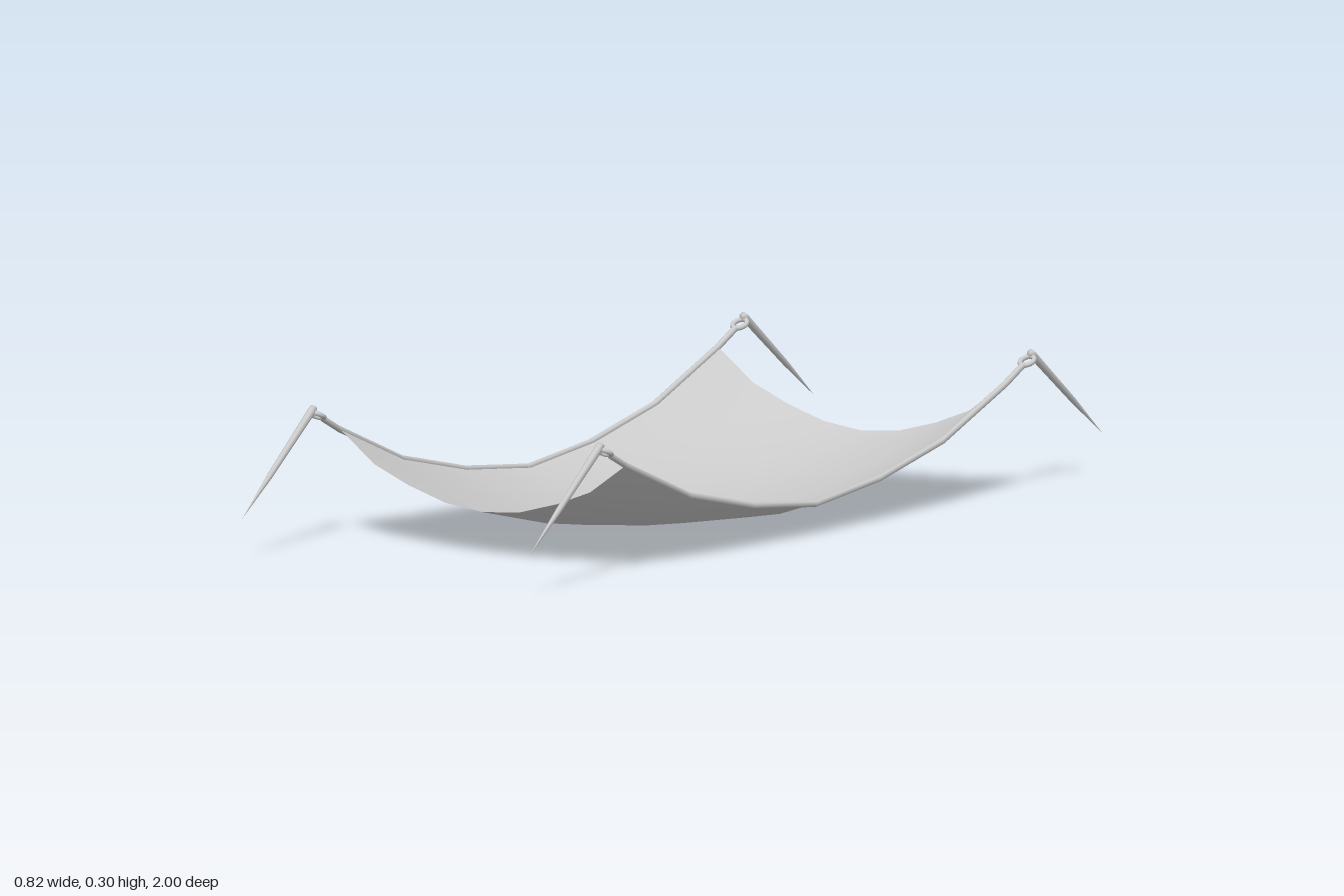
import * as THREE from 'three';

const HALF_W = 0.385, HALF_L = 0.66;
// Normalised sag across the width and along the length
const sagX = [0, 0.07, 0.27, 0.52, 1];
const sagZ = [0, 0.147, 0.45, 1];
const xs = [0, 0.1, 0.2, 0.29, HALF_W];

const sheetY = (g, h) => 0.003 + 0.067 * g + h * (0.097 + 0.073 * g);

// Straight runs between points, so the rope follows the facets of the cloth
class Polyline extends THREE.Curve {
  constructor(points) {
    super();
    this.points = points;
  }
  getPoint(t, target = new THREE.Vector3()) {
    const n = this.points.length - 1;
    const i = Math.min(Math.floor(t * n), n - 1);
    return target.lerpVectors(this.points[i], this.points[i + 1], t * n - i);
  }
  getPointAt(u, target) { return this.getPoint(u, target); }
  getTangentAt(u, target) { return this.getTangent(u, target); }
}

export function createModel() {
  const group = new THREE.Group();
  const mat = new THREE.MeshStandardMaterial({ color: 0xcccccc });
  const clothMat = new THREE.MeshStandardMaterial({ color: 0xcccccc, side: THREE.DoubleSide });
  const add = (name, geo, material = mat) => {
    const mesh = new THREE.Mesh(geo, material);
    mesh.name = name;
    group.add(mesh);
    return mesh;
  };

  // Sagging cloth
  const cloth = new THREE.PlaneGeometry(1, 1, 8, 6).rotateX(-Math.PI / 2);
  const pos = cloth.attributes.position;
  for (let k = 0; k < pos.count; k++) {
    const i = (k % 9) - 4, j = Math.floor(k / 9) - 3;
    const a = Math.abs(i), b = Math.abs(j);
    pos.setXYZ(k, Math.sign(i) * xs[a], sheetY(sagX[a], sagZ[b]), j * HALF_L / 3);
  }
  cloth.computeVertexNormals();
  add('cloth', cloth, clothMat);

  for (const sx of [-1, 1]) {
    const x = sx * 0.387;

    // Rope along the long edge, running on to the rings
    const points = [new THREE.Vector3(x, 0.273, -0.722)];
    for (let j = -3; j <= 3; j++) {
      points.push(new THREE.Vector3(x, sheetY(1, sagZ[Math.abs(j)]), j * HALF_L / 3));
    }
    points.push(new THREE.Vector3(x, 0.273, 0.722));
    add('edgeRope', new THREE.TubeGeometry(new Polyline(points), 8, 0.007, 8));

    for (const sz of [-1, 1]) {
      // Ring tilted in line with the rope end
      const ring = add('ring', new THREE.TorusGeometry(0.016, 0.0055, 8, 20));
      ring.position.set(x, 0.28, sz * 0.737);
      ring.rotation.x = Math.PI / 2 - sz * 0.49;

      // Pointed stake leaning outward
      const head = new THREE.Vector3(x, 0.298, sz * 0.747);
      const tip = new THREE.Vector3(x, 0.09, sz * 0.998);
      const dir = tip.clone().sub(head);
      const len = dir.length();
      const profile = [[0, 0], [0.008, 0], [0.009, 0.012], [0.0065, len * 0.6], [0, len]]
        .map(([r, y]) => new THREE.Vector2(r, y)).reverse();
      const stake = add('stake', new THREE.LatheGeometry(profile.reverse(), 8));
      stake.position.copy(head);
      stake.quaternion.setFromUnitVectors(new THREE.Vector3(0, 1, 0), dir.normalize());
    }
  }
  return group;
}
